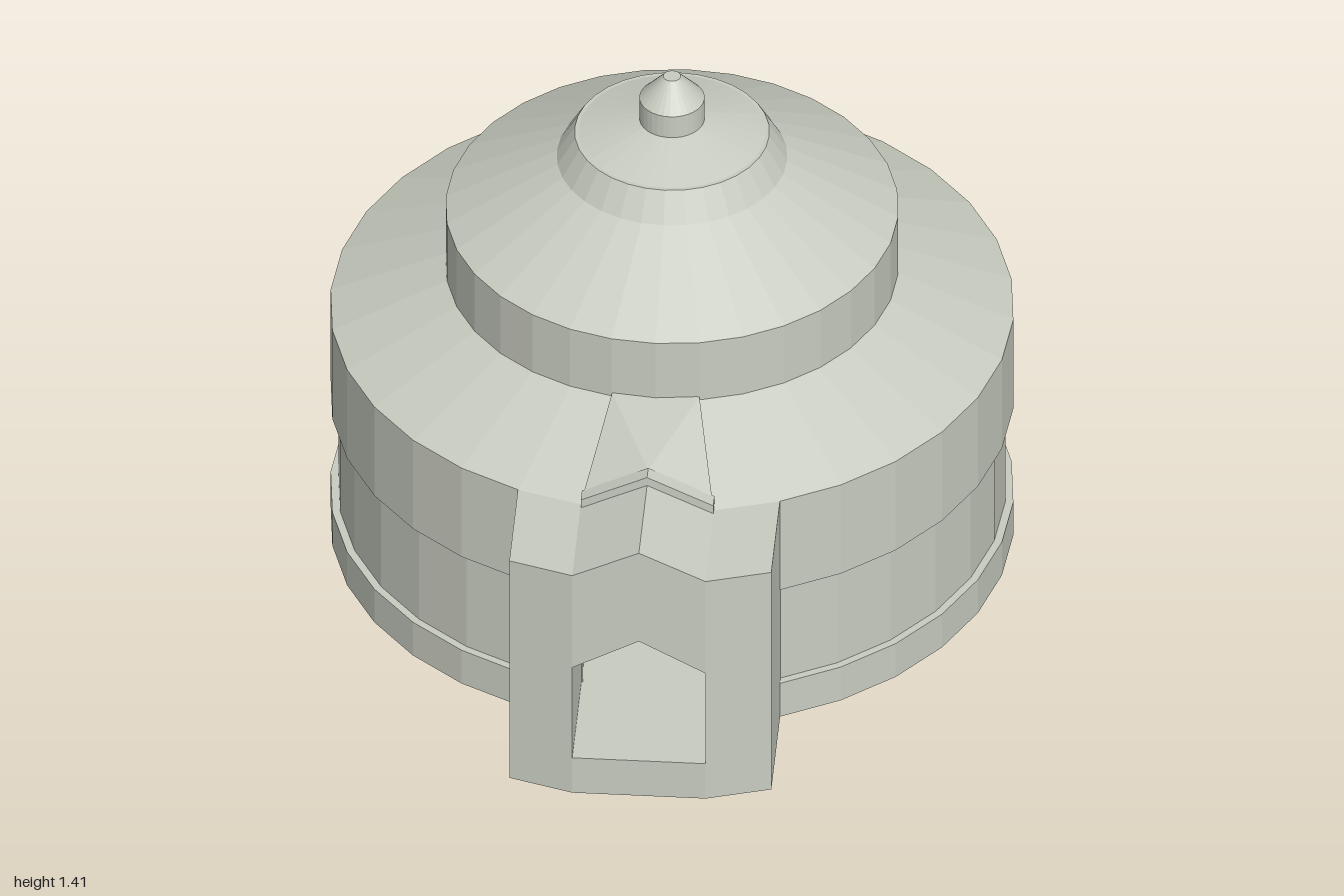
import * as THREE from 'three';
import { ConvexGeometry } from 'three/addons/geometries/ConvexGeometry.js';

const stone = new THREE.MeshStandardMaterial({ color: 0xc8ccc0, side: THREE.DoubleSide });
stone.name = 'pale stone';
const SIDES = 32;
const CENTRE_Z = -0.14;

export function createModel() {
  const model = new THREE.Group();
  model.name = 'roundHouse';

  // Faceted mesh: split vertices so every face is flat
  function add(name, geometry, x = 0, y = 0, z = 0) {
    const flat = geometry.index ? geometry.toNonIndexed() : geometry;
    flat.computeVertexNormals();
    const mesh = new THREE.Mesh(flat, stone);
    mesh.name = name;
    mesh.position.set(x, y, z);
    model.add(mesh);
    return mesh;
  }
  // Turned part around the building's axis, optionally with a gap at the front
  function turned(name, profile, sides = SIDES, gap = 0) {
    const points = profile.map(([r, y]) => new THREE.Vector2(r, y));
    const step = (Math.PI * 2) / sides;
    const geo = new THREE.LatheGeometry(points, sides - 2 * gap, gap * step, (sides - 2 * gap) * step);
    return add(name, geo, 0, 0, CENTRE_Z);
  }
  const shapeOf = (pts) => new THREE.Shape(pts.map(([x, y]) => new THREE.Vector2(x, y)));
  const extrude = (pts, depth) => new THREE.ExtrudeGeometry(shapeOf(pts), { depth, bevelEnabled: false });

  // Plinth with the chamber floor on top
  turned('plinth', [[0, 0], [0.83, 0], [0.86, 0.01], [0.86, 0.115], [0, 0.115]]);

  // Wall with a projecting upper band, open at the doorway
  turned('wall', [[0.84, 0.115], [0.84, 0.41], [0.86, 0.41], [0.86, 0.69]], SIDES, 1);

  // Stepped roof
  turned('lowerRoof', [[0.86, 0.69], [0.57, 0.82]]);
  turned('drum', [[0.57, 0.82], [0.57, 1.0]]);
  turned('upperRoof', [[0.57, 1.0], [0.29, 1.16], [0.245, 1.237], [0.235, 1.237]]);
  turned('cap', [[0.235, 1.237], [0.08, 1.28]]);
  turned('finial', [[0.082, 1.27], [0.082, 1.345], [0.022, 1.412], [0, 1.412]]);

  // Pedestal inside the chamber
  turned('pedestal', [
    [0.08, 0.115], [0.052, 0.15], [0.052, 0.325], [0.1, 0.39], [0.1, 0.41], [0.06, 0.46], [0, 0.465],
  ], 16);

  // Porch side piers with chamfered front corners
  for (const side of [-1, 1]) {
    const plan = [[0.168, -1], [0.33, -0.95], [0.33, -0.6], [0.168, -0.6]].map(([x, z]) => [x * side, z]);
    const pier = extrude(plan, 0.685);
    pier.rotateX(-Math.PI / 2);
    add(side > 0 ? 'leftPier' : 'rightPier', pier, 0, 0.005, 0);
  }

  // Gabled lintel with a pointed opening below, and the doorstep
  add('gable', extrude([
    [-0.168, 0.4], [0, 0.492], [0.168, 0.4], [0.168, 0.69], [0, 0.77], [-0.168, 0.69],
  ], 0.38), 0, 0, 0.62);
  add('doorstep', new THREE.BoxGeometry(0.336, 0.11, 0.4), 0, 0.06, 0.8);

  // Gable moulding and the ramp joining it to the drum
  add('gableMoulding', extrude([
    [-0.167, 0.69], [0, 0.77], [0.167, 0.69], [0.167, 0.715], [0, 0.795], [-0.167, 0.715],
  ], 0.04), 0, 0, 0.678);
  const ramp = [new THREE.Vector3(0, 0.79, 0.68)];
  for (const side of [-1, 1]) {
    ramp.push(
      new THREE.Vector3(0.162 * side, 0.715, 0.69), new THREE.Vector3(0.162 * side, 0.68, 0.68),
      new THREE.Vector3(0.11 * side, 0.83, 0.42), new THREE.Vector3(0.11 * side, 0.77, 0.42),
    );
  }
  add('porchRamp', new ConvexGeometry(ramp));

  return model;
}
